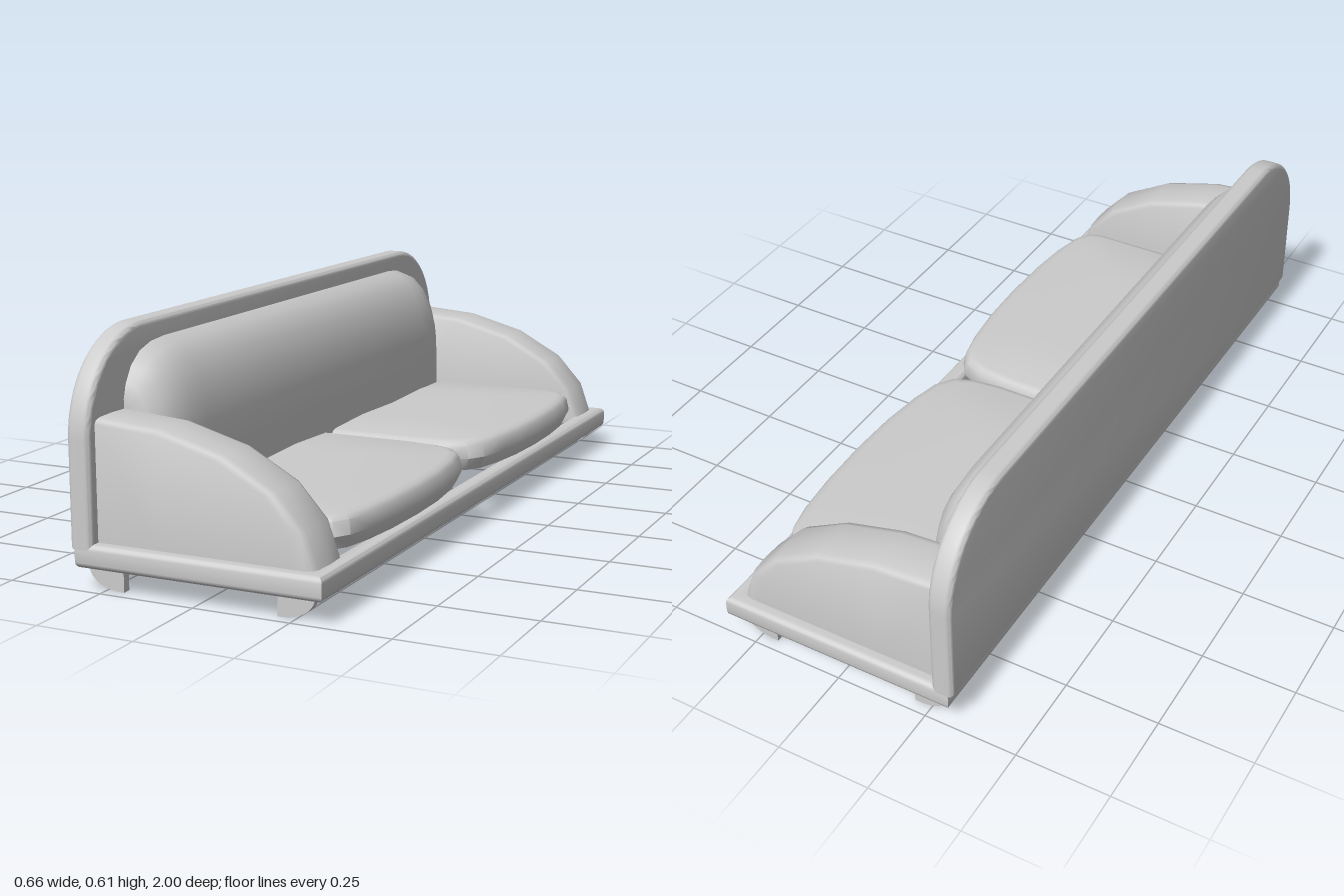
import * as THREE from 'three';
import { toCreasedNormals } from 'three/addons/utils/BufferGeometryUtils.js';

const material = new THREE.MeshStandardMaterial({ color: 0xcccccc, side: THREE.DoubleSide });

function addMesh(group, name, geometry) {
  const mesh = new THREE.Mesh(geometry, material);
  mesh.name = name;
  group.add(mesh);
  return mesh;
}

// Skin a row of open cross-sections, each an array of [x, y, z]
function loft(sections, flip = false, crease = 0.7) {
  const n = sections[0].length;
  const index = [];
  for (let i = 0; i < sections.length - 1; i++) {
    for (let j = 0; j < n - 1; j++) {
      const a = i * n + j, b = a + 1, d = a + n, c = d + 1;
      if (flip) index.push(a, c, b, a, d, c);
      else index.push(a, b, c, a, c, d);
    }
  }
  const geometry = new THREE.BufferGeometry();
  geometry.setAttribute('position', new THREE.Float32BufferAttribute(sections.flat(2), 3));
  geometry.setIndex(index);
  return toCreasedNormals(geometry, crease);
}

function extrude(shape, depth, bevel) {
  return toCreasedNormals(new THREE.ExtrudeGeometry(shape, {
    depth: depth - 2 * bevel, bevelEnabled: bevel > 0, bevelThickness: bevel,
    bevelSize: bevel, bevelOffset: -bevel, bevelSegments: 3, curveSegments: 12,
  }).translate(0, 0, bevel), 0.7);
}

function rectangle(path, x0, y0, x1, y1) {
  path.moveTo(x0, y0);
  path.lineTo(x1, y0);
  path.lineTo(x1, y1);
  path.lineTo(x0, y1);
  path.closePath();
  return path;
}

// Open rectangular base with rounded edges
function base() {
  const shape = rectangle(new THREE.Shape(), -0.317, -1, 0.33, 1);
  shape.holes.push(rectangle(new THREE.Path(), -0.27, -0.94, 0.28, 0.94));
  return extrude(shape, 0.06, 0.014).rotateX(-Math.PI / 2).translate(0, 0.055, 0);
}

// Upright board with large rounded top corners
function backPanel() {
  const shape = new THREE.Shape();
  shape.moveTo(-1, 0.1);
  shape.lineTo(1, 0.1);
  shape.lineTo(1, 0.36);
  shape.absellipse(0.75, 0.36, 0.25, 0.25, 0, Math.PI / 2);
  shape.lineTo(-0.75, 0.61);
  shape.absellipse(-0.75, 0.36, 0.25, 0.25, Math.PI / 2, Math.PI);
  shape.closePath();
  return extrude(shape, 0.06, 0.013).rotateY(Math.PI / 2).translate(-0.33, 0, 0);
}

// Long bolster: one bulging profile, shrinking towards both ends
function backCushion() {
  const profile = [[1, 0], [1, 0.25], [0.98, 0.45], [0.94, 0.57], [0.82, 0.73],
    [0.6, 0.87], [0.32, 0.965], [0, 1]]; // depth and height as fractions
  const ends = [[0.845, 0.43, 0], [0.845, 0.435, 0.045], [0.835, 0.47, 0.075], [0.81, 0.51, 0.1],
    [0.77, 0.54, 0.115], [0.72, 0.555, 0.122], [0.66, 0.56, 0.125]];
  const section = (z, top, depth) =>
    profile.map(([d, h]) => [-0.27 + d * depth, 0.19 + h * (top - 0.19), z]);
  return loft([
    ...ends.map(([z, t, d]) => section(-z, t, d)),
    ...ends.slice().reverse().map(([z, t, d]) => section(z, t, d)),
  ]);
}

// Armrest: sloping faceted top line with softened edges and open underside
function armrest(side) {
  const line = [[0, 0.298], [0.17, 0.285], [0.335, 0.24], [0.465, 0.168], [0.54, 0.085], [0.57, 0]];
  const across = [[0.82, 0.95, 0], [0.82, 0.95, 1], [0.826, 0.98, 1], [0.842, 0.995, 1], [0.895, 1, 1],
    [0.948, 0.995, 1], [0.964, 0.98, 1], [0.97, 0.95, 1], [0.97, 0.95, 0]]; // z, inset, height
  const sections = line.map(([x, y]) =>
    across.map(([z, k, h]) => [-0.27 + x * k, 0.115 + y * k * h, side * z]));
  return loft(sections, side < 0, 0.9);
}

// Seat cushion: a rounded outline stepped up to a slightly domed top
function seatCushion(side) {
  const outline = [[-0.15, 0.002], [0.12, 0.002], [0.2, 0.012], [0.255, 0.035], [0.285, 0.08],
    [0.303, 0.16], [0.317, 0.28], [0.322, 0.42], [0.318, 0.57], [0.307, 0.69],
    [0.29, 0.77], [0.265, 0.808], [0.23, 0.82], [-0.15, 0.822]];
  const levels = [[0.967, 0.115], [1, 0.15], [0.985, 0.185], [0.965, 0.195], [0.93, 0.199],
    [0.5, 0.205], [0, 0.2]]; // outline scale, height
  const sections = levels.map(([k, y]) =>
    outline.map(([x, z]) => [-0.15 + (x + 0.15) * k, y, side * (0.412 + (z - 0.412) * k)]));
  return loft(sections, side > 0);
}

// Thin foot, straight on its inner edge and curved on its outer edge
function foot(end) {
  const shape = new THREE.Shape();
  shape.moveTo(end * 0.203, 0.06);
  shape.lineTo(end * 0.203, 0.002);
  shape.bezierCurveTo(end * 0.25, 0, end * 0.298, 0.02, end * 0.298, 0.06);
  shape.closePath();
  return extrude(shape, 0.022, 0).translate(0, -0.001, -0.011);
}

export function createModel() {
  const model = new THREE.Group();
  model.name = 'sofa';
  addMesh(model, 'base', base());
  addMesh(model, 'backPanel', backPanel());
  addMesh(model, 'backCushion', backCushion());
  for (const side of [1, -1]) {
    const label = side > 0 ? 'Left' : 'Right';
    addMesh(model, 'armrest' + label, armrest(side));
    addMesh(model, 'seatCushion' + label, seatCushion(side));
    for (const end of [1, -1]) {
      const leg = addMesh(model, (end > 0 ? 'frontFoot' : 'backFoot') + label, foot(end));
      leg.position.z = side * 0.958;
    }
  }
  return model;
}
